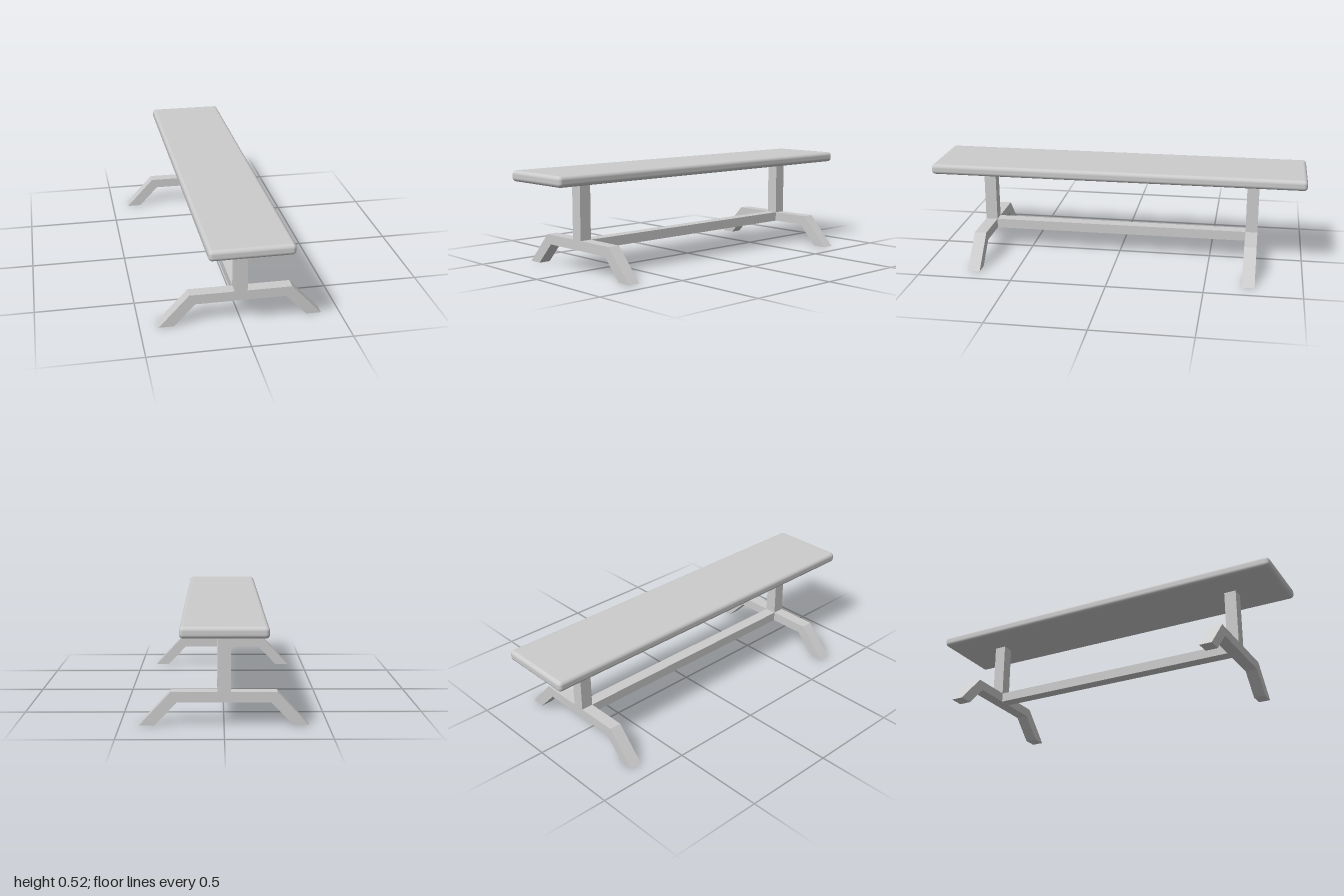
import * as THREE from 'three';
import { RoundedBoxGeometry } from 'three/addons/geometries/RoundedBoxGeometry.js';

const material = new THREE.MeshStandardMaterial({ color: 0xcccccc });

function addPart(group, name, geometry, x, y, z) {
  const mesh = new THREE.Mesh(geometry, material);
  mesh.name = name;
  mesh.position.set(x, y, z);
  group.add(mesh);
  return mesh;
}

export function createModel() {
  const group = new THREE.Group();
  group.name = 'bench';

  // Heights and sizes shared by the parts
  const seatBottom = 0.462, seatTop = 0.517;
  const barBottom = 0.112, barTop = 0.163;
  const halfPost = 0.032, depth = 0.064, trestleZ = 0.724;

  // Seat board with softly rounded edges
  const seatHeight = seatTop - seatBottom;
  addPart(group, 'seat', new RoundedBoxGeometry(0.408, seatHeight, 2, 4, 0.02),
    0, seatBottom + seatHeight / 2, 0);

  // Trestle outline: post, crossbar and two splayed feet, mirrored about x = 0
  const half = [
    [0.226, barBottom], [0.333, 0], [0.408, 0],
    [0.256, barTop], [halfPost, barTop], [halfPost, seatBottom + 0.004],
  ];
  const mirrored = half.map(([x, y]) => [-x, y]).reverse();
  const outline = new THREE.Shape([...half, ...mirrored].map(([x, y]) => new THREE.Vector2(x, y)));
  const trestle = new THREE.ExtrudeGeometry(outline, { depth, bevelEnabled: false });
  trestle.translate(0, 0, -depth / 2);
  addPart(group, 'frontTrestle', trestle, 0, 0, trestleZ);
  addPart(group, 'backTrestle', trestle, 0, 0, -trestleZ);

  // Long stretcher between the trestles
  addPart(group, 'stretcher',
    new THREE.BoxGeometry(halfPost * 2, barTop - barBottom, trestleZ * 2 - depth),
    0, (barTop + barBottom) / 2, 0);

  return group;
}
